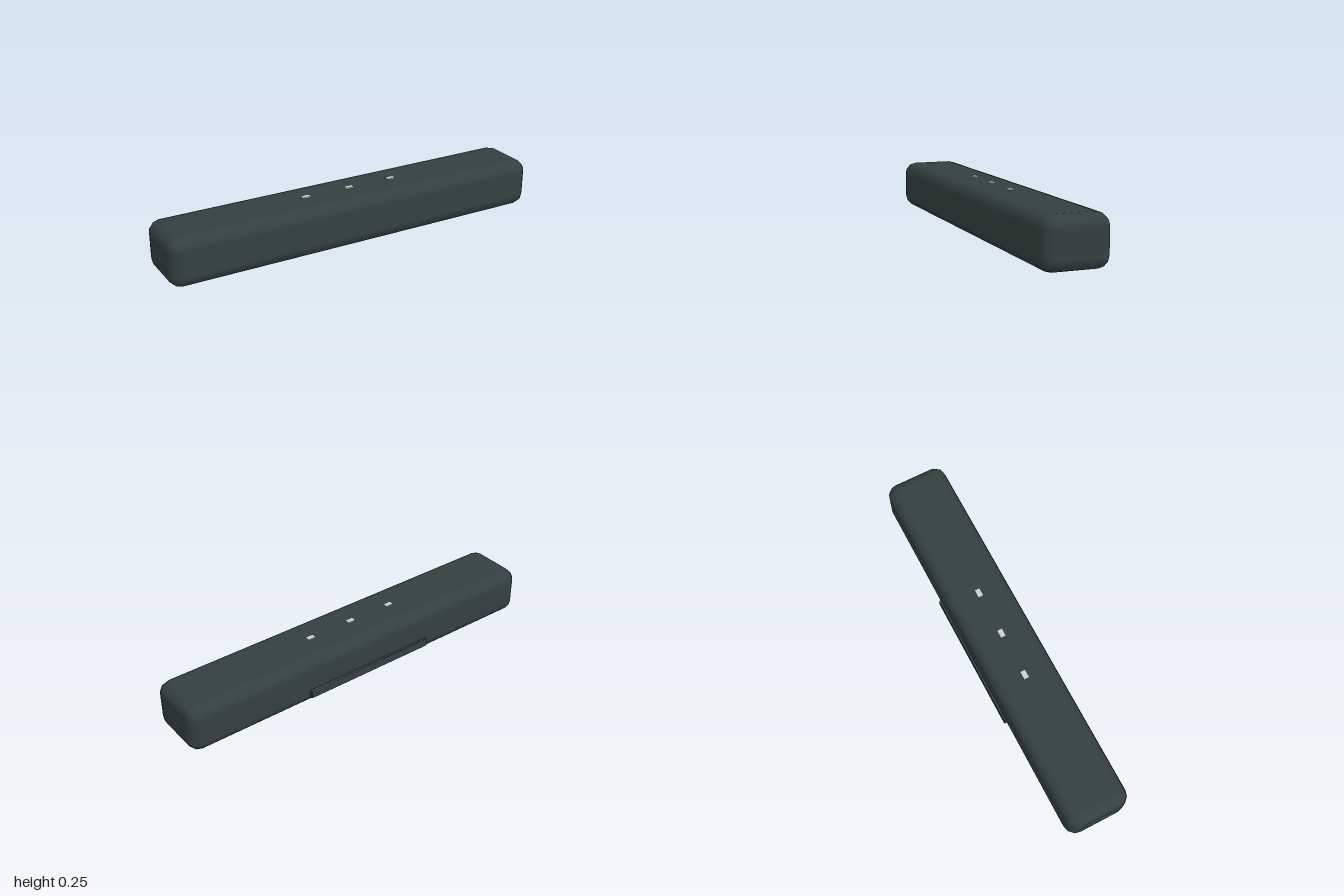
import * as THREE from 'three';
import { RoundedBoxGeometry } from 'three/addons/geometries/RoundedBoxGeometry.js';

// Box with rounded edges, three facets per quarter turn, smooth normals
function bevelledBox(w, h, d, r, steps = 3) {
  const core = [w / 2 - r, h / 2 - r, d / 2 - r];
  const corners = [[1, 1], [-1, 1], [-1, -1], [1, -1]]; // signs of z, y around the x axis
  const pos = [], nor = [], idx = [];
  const perRing = 4 * (steps + 1);
  const quarter = Math.PI / 2;

  // Rings from the left end to the right end
  for (const side of [-1, 1]) {
    for (let i = 0; i <= steps; i++) {
      const a = quarter * (side < 0 ? i / steps - 1 : i / steps);
      corners.forEach(([sz, sy], c) => {
        for (let j = 0; j <= steps; j++) {
          const b = quarter * (c + j / steps);
          const n = [Math.sin(a), Math.cos(a) * Math.sin(b), Math.cos(a) * Math.cos(b)];
          pos.push(side * core[0] + r * n[0], sy * core[1] + r * n[1], sz * core[2] + r * n[2]);
          nor.push(...n);
        }
      });
    }
  }
  const rings = 2 * (steps + 1);
  for (let i = 0; i < rings - 1; i++) {
    for (let j = 0; j < perRing; j++) {
      const a = i * perRing + j, b = i * perRing + (j + 1) % perRing;
      const c = a + perRing, d2 = b + perRing;
      idx.push(a, c, b, b, c, d2);
    }
  }
  // Flat ends
  const [p, q, s, t] = [0, 1, 2, 3].map((c) => c * (steps + 1));
  const last = (rings - 1) * perRing;
  idx.push(p, q, s, p, s, t);
  idx.push(last + p, last + s, last + q, last + p, last + t, last + s);

  // Wind every triangle to agree with its outward direction
  const v = (k) => new THREE.Vector3().fromArray(pos, k * 3);
  for (let k = 0; k < idx.length; k += 3) {
    const A = v(idx[k]), B = v(idx[k + 1]), C = v(idx[k + 2]);
    const face = B.clone().sub(A).cross(C.clone().sub(A));
    if (face.dot(A.add(B).add(C)) < 0) [idx[k + 1], idx[k + 2]] = [idx[k + 2], idx[k + 1]];
  }
  const g = new THREE.BufferGeometry();
  g.setAttribute('position', new THREE.Float32BufferAttribute(pos, 3));
  g.setAttribute('normal', new THREE.Float32BufferAttribute(nor, 3));
  g.setIndex(idx);
  return g;
}

export function createModel() {
  const model = new THREE.Group();
  model.name = 'soundbar';
  const shell = new THREE.MeshStandardMaterial({ name: 'dark slate', color: 0x344040 });
  const light = new THREE.MeshStandardMaterial({ name: 'pale grey', color: 0xccd2ce });

  const add = (name, geometry, material, x, y, z) => {
    const mesh = new THREE.Mesh(geometry, material);
    mesh.name = name;
    mesh.position.set(x, y, z);
    model.add(mesh);
  };

  // Main housing
  add('housing', bevelledBox(2, 0.246, 0.322, 0.06), shell, 0, 0.123, 0.006);

  // Connector strip low on the back
  add('rearStrip', new RoundedBoxGeometry(0.72, 0.044, 0.03, 1, 0.004), shell, 0, 0.062, -0.152);

  // Three buttons on top
  const button = new THREE.BoxGeometry(0.042, 0.008, 0.026);
  ['rightButton', 'middleButton', 'leftButton'].forEach((name, i) =>
    add(name, button, light, (i - 1) * 0.24, 0.248, 0.005));

  return model;
}
